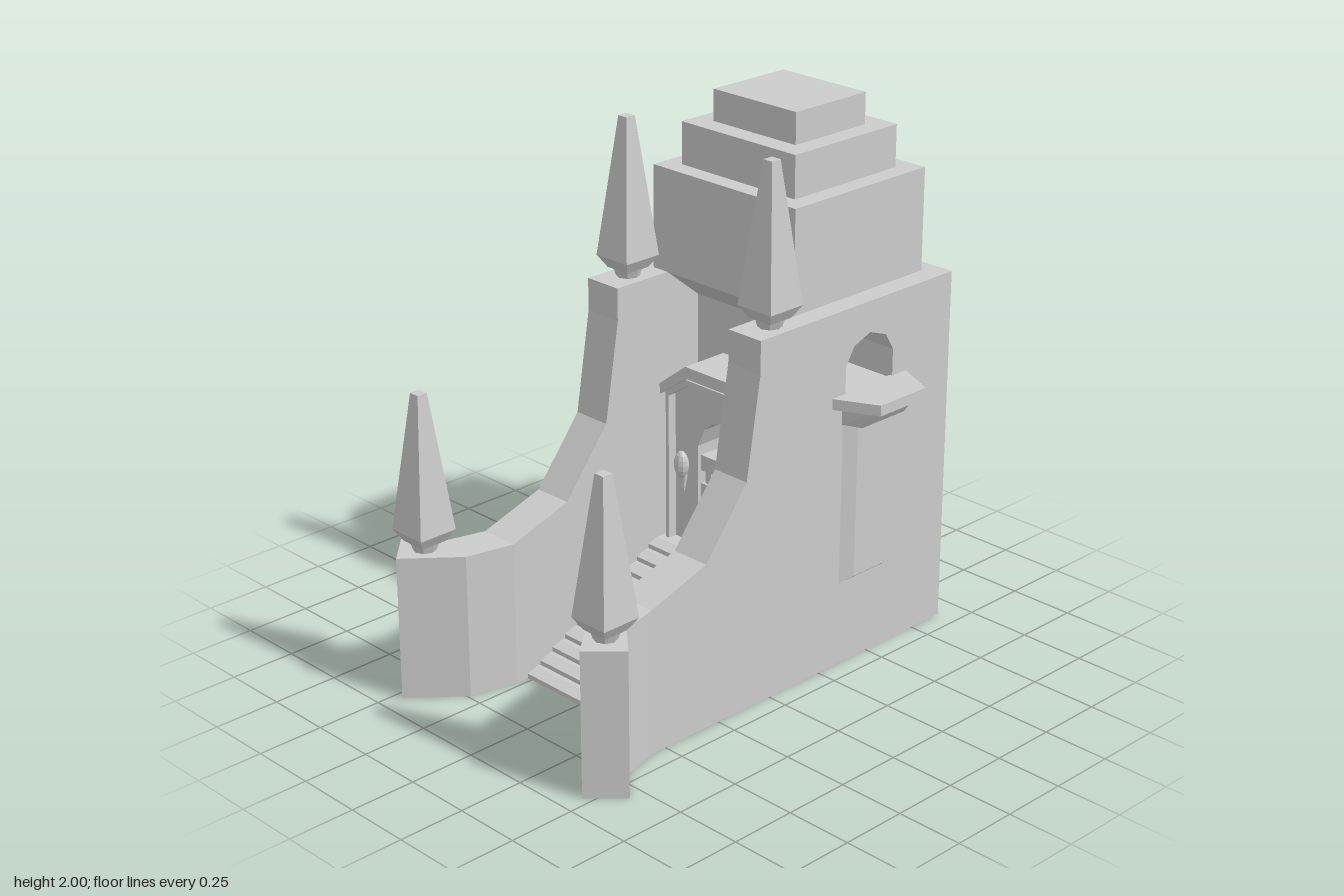
import * as THREE from 'three';

const mat = new THREE.MeshStandardMaterial({ color: 0xcccccc, flatShading: true });

function add(parent, name, geo, x = 0, y = 0, z = 0) {
  const m = new THREE.Mesh(geo, mat);
  m.name = name;
  m.position.set(x, y, z);
  parent.add(m);
  return m;
}

const toShape = (pts) => new THREE.Shape(pts.map(([a, b]) => new THREE.Vector2(a, b)));
const extrude = (shape, depth) => new THREE.ExtrudeGeometry(shape, { depth, bevelEnabled: false });

// Side profile given as (z, y), extruded across x0..x1
function acrossX(pts, x0, x1, hole) {
  const s = toShape(pts);
  if (hole) s.holes.push(new THREE.Path(hole.map(([a, b]) => new THREE.Vector2(a, b))));
  return extrude(s, x1 - x0).rotateY(-Math.PI / 2).translate(x1, 0, 0);
}

// Plan outline given as (x, z), extruded over y0..y1
const upY = (pts, y0, y1) => extrude(toShape(pts), y1 - y0).rotateX(Math.PI / 2).translate(0, y1, 0);

// Box between two corners
const span = (x0, x1, y0, y1, z0, z1) =>
  new THREE.BoxGeometry(x1 - x0, y1 - y0, z1 - z0).translate((x0 + x1) / 2, (y0 + y1) / 2, (z0 + z1) / 2);

// Raised panel facing +z whose outer face is inset on all sides
function raisedPanel(w, y0, y1, d, insetX, insetY) {
  const g = new THREE.BoxGeometry(w, y1 - y0, d).translate(0, (y0 + y1) / 2, d / 2);
  const p = g.attributes.position;
  for (let i = 0; i < p.count; i++) {
    if (p.getZ(i) < d / 2) continue;
    p.setX(i, p.getX(i) - Math.sign(p.getX(i)) * insetX);
    p.setY(i, p.getY(i) + (p.getY(i) > (y0 + y1) / 2 ? -insetY : insetY));
  }
  return g;
}

// Square tapered block with half widths at bottom and top
const taper = (bottom, top, h) =>
  new THREE.CylinderGeometry(top * Math.SQRT2, bottom * Math.SQRT2, h, 4).rotateY(Math.PI / 4).translate(0, h / 2, 0);

function spire(parent, name, x, y, z) {
  const g = new THREE.Group();
  g.name = name;
  g.position.set(x, y, z);
  add(g, 'spireNeck', new THREE.CylinderGeometry(0.055, 0.042, 0.04, 8).translate(0, 0.02, 0));
  add(g, 'spireBase', taper(0.05, 0.077, 0.045), 0, 0.03, 0);
  add(g, 'spireShaft', taper(0.077, 0.02, 0.505), 0, 0.075, 0);
  parent.add(g);
}

export function createModel() {
  const model = new THREE.Group();
  model.name = 'temple';

  // Arched window running through the whole body
  const windowHole = [[-0.36, 1.03], [-0.36, 1.14], [-0.40, 1.205], [-0.48, 1.235],
    [-0.56, 1.205], [-0.60, 1.14], [-0.60, 1.03]];

  // Core between the side walls, overhanging the porch
  add(model, 'core', acrossX([[-0.9, 0], [-0.33, 0], [-0.33, 1.23], [-0.18, 1.35], [-0.9, 1.35]],
    -0.27, 0.27, windowHole));

  // Staircase with sloped nosings, and the landing
  const steps = 11, z0 = 0.51, z1 = -0.14, top = 0.34;
  const stair = [[-0.33, 0], [z0, 0]];
  const run = (z0 - z1) / steps, rise = top / steps;
  for (let i = 0; i < steps; i++) {
    const z = z0 - i * run, y = i * rise;
    stair.push([z, y + rise * 0.55], [z - run * 0.7, y + rise], [z - run, y + rise]);
  }
  stair.push([-0.33, top]);
  add(model, 'stairs', acrossX(stair, -0.27, 0.27));

  // Stepped tower
  add(model, 'towerLower', span(-0.34, 0.34, 1.35, 1.73, -0.83, -0.18));
  add(model, 'towerMiddle', span(-0.27, 0.27, 1.73, 1.885, -0.755, -0.25));
  add(model, 'towerTop', span(-0.195, 0.195, 1.885, 2.0, -0.675, -0.33));

  for (const s of [-1, 1]) {
    const side = new THREE.Group();
    side.name = s > 0 ? 'leftSide' : 'rightSide';
    model.add(side);

    // Side wall sweeping down to the front
    const wall = [[-0.9, 0], [0.56, 0], [0.56, 0.54], [0.31, 0.62], [0.12, 0.86],
      [0.06, 1.23], [0.06, 1.35], [-0.9, 1.35]];
    add(side, 'sideWall', acrossX(wall, s > 0 ? 0.27 : -0.42, s > 0 ? 0.42 : -0.27, windowHole));

    // Flared wing at the foot of the stairs
    const wing = [[0.27, 0.56], [0.31, 0.74], [0.465, 0.92], [0.575, 0.81], [0.46, 0.71], [0.42, 0.56]];
    add(side, 'wing', upY(wing.map(([x, z]) => [s * x, z]), 0, 0.54));

    spire(side, 'frontSpire', s * 0.457, 0.54, 0.8);
    spire(side, 'upperSpire', s * 0.345, 1.35, -0.06);

    // Window sill, tapered corbel and raised panel below
    const sill = [[0.41, -0.29], [0.575, -0.37], [0.575, -0.60], [0.41, -0.675]];
    add(side, 'windowSill', upY(sill.map(([x, z]) => [s * x, z]), 1.0, 1.04));
    const corbel = new THREE.BoxGeometry(0.12, 0.07, 0.27);
    const p = corbel.attributes.position;
    for (let i = 0; i < p.count; i++) {
      if (p.getX(i) * s > 0) {
        p.setZ(i, p.getZ(i) * 0.8);
        if (p.getY(i) < 0) p.setX(i, p.getX(i) - s * 0.05);
      }
    }
    add(side, 'corbel', corbel, s * 0.48, 0.965, -0.48);
    add(side, 'sidePanel', raisedPanel(0.26, 0.32, 0.96, 0.025, 0.05, 0.02), s * 0.42, 0, -0.48)
      .rotation.y = s * Math.PI / 2;
  }

  // Raised panel on the back
  add(model, 'backPanel', raisedPanel(0.28, 0.31, 1.28, 0.025, 0.05, 0.05), 0, 0, -0.9).rotation.y = Math.PI;

  // Porch wall with an arched niche
  const porch = new THREE.Group();
  porch.name = 'porch';
  model.add(porch);
  const front = toShape([[-0.27, 0.34], [0.27, 0.34], [0.27, 0.93], [0.14, 1.02], [-0.14, 1.02], [-0.27, 0.93]]);
  const arch = [[-0.12, 0.345], [0.12, 0.345], [0.12, 0.73], [0.09, 0.8], [0.05, 0.835], [0, 0.85],
    [-0.05, 0.835], [-0.09, 0.8], [-0.12, 0.73]];
  front.holes.push(new THREE.Path(arch.map(([a, b]) => new THREE.Vector2(a, b))));
  add(porch, 'porchWall', extrude(front, 0.14), 0, 0, -0.325);

  // Hood and door surround in front of the porch wall
  const hood = [[-0.27, 0.94], [-0.27, 0.9], [-0.24, 0.92], [-0.14, 0.995], [0.14, 0.995], [0.24, 0.92],
    [0.27, 0.9], [0.27, 0.94], [0.14, 1.04], [-0.14, 1.04]];
  add(porch, 'hood', extrude(toShape(hood), 0.19), 0, 0, -0.33);
  const surround = [[-0.25, 0.34], [-0.235, 0.34], [-0.235, 0.9], [-0.14, 0.965], [0.14, 0.965], [0.235, 0.9],
    [0.235, 0.34], [0.25, 0.34], [0.25, 0.915], [0.15, 0.985], [-0.15, 0.985], [-0.25, 0.915]];
  add(porch, 'doorSurround', extrude(toShape(surround), 0.05), 0, 0, -0.2);

  // Low table on a plinth inside the niche
  add(porch, 'plinth', span(-0.12, 0.12, 0.34, 0.58, -0.33, -0.2));
  add(porch, 'tableTop', span(-0.12, 0.12, 0.63, 0.69, -0.3, -0.2));
  for (const x of [-0.095, -0.06, 0.06, 0.095])
    add(porch, 'tableLeg', span(x - 0.014, x + 0.014, 0.58, 0.63, -0.28, -0.21));

  // Wall lamps beside the niche
  for (const x of [-0.175, 0.175]) {
    add(porch, 'lamp', new THREE.SphereGeometry(1, 10, 8).scale(0.03, 0.052, 0.025), x, 0.65, -0.155);
    add(porch, 'lampStem', new THREE.CylinderGeometry(0.016, 0.006, 0.06, 6), x, 0.575, -0.165);
  }

  return model;
}
